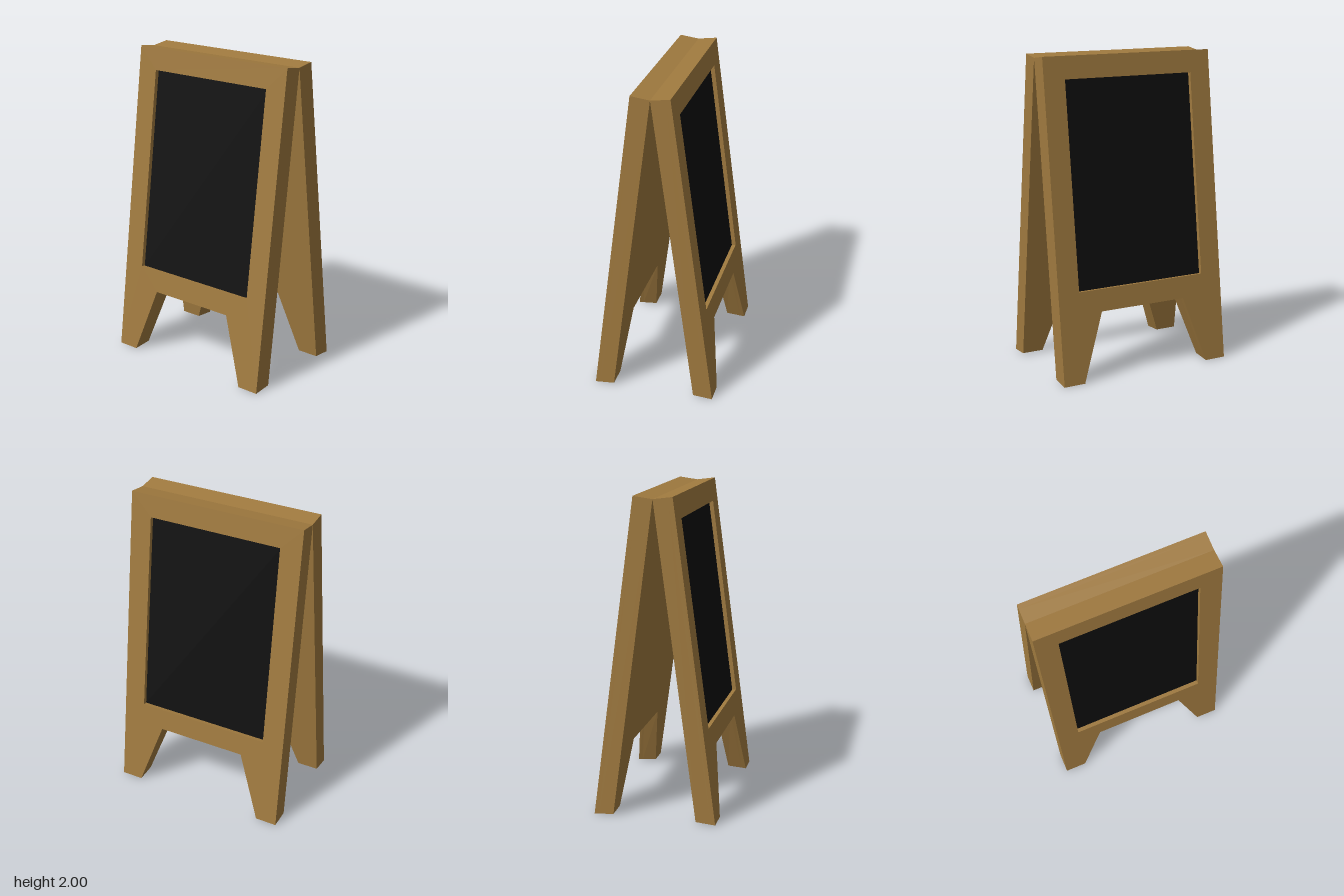
import * as THREE from 'three';

const TILT = Math.atan2(0.267, 2);      // lean of each panel
const LENGTH = 2 / Math.cos(TILT);      // panel length along the slope
const THICK = 0.121, RECESS = 0.028;
const HALF_W = 0.58, HINGE_Y = 1.984;
const BEVEL = 0.026;                    // feet are cut shorter on the inner side

const wood = new THREE.MeshStandardMaterial({ color: 0xa07a3f, flatShading: true });
const slate = new THREE.MeshStandardMaterial({ color: 0x0e0e0e, flatShading: true });

// slope coordinate (0 at the top) of a height on the outer face
const along = (y) => -(2 - y) / Math.cos(TILT);
const BOARD = { w: 0.44, top: along(1.86), bottom: along(0.57) };

// panel outline with two splayed legs
function outline() {
  const arch = along(0.43);
  return new THREE.Shape([
    [-HALF_W, 0], [-HALF_W, -LENGTH], [-0.44, -LENGTH], [-0.293, arch],
    [0.293, arch], [0.44, -LENGTH], [HALF_W, -LENGTH], [HALF_W, 0],
  ].map(([x, y]) => new THREE.Vector2(x, y)));
}

// one layer of the panel between two depths, feet trimmed towards the inside
function layer(shape, from, to) {
  const geo = new THREE.ExtrudeGeometry(shape, { depth: to - from, bevelEnabled: false });
  geo.translate(0, 0, from);
  const p = geo.attributes.position;
  for (let i = 0; i < p.count; i++) {
    if (p.getY(i) < -LENGTH + 0.001) p.setY(i, -LENGTH + BEVEL * (1 - p.getZ(i) / THICK));
  }
  geo.computeVertexNormals();
  return geo.rotateY(Math.PI / 2);
}

function add(parent, name, geo, material) {
  const mesh = new THREE.Mesh(geo, material);
  mesh.name = name;
  parent.add(mesh);
}

function createPanel(name) {
  const panel = new THREE.Group();
  panel.name = name;
  const floor = THICK - RECESS;

  // solid backing with legs
  add(panel, 'backing', layer(outline(), 0, floor), wood);

  // raised frame around the writing surface
  const framed = outline();
  framed.holes.push(new THREE.Path([
    new THREE.Vector2(-BOARD.w, BOARD.top), new THREE.Vector2(BOARD.w, BOARD.top),
    new THREE.Vector2(BOARD.w, BOARD.bottom), new THREE.Vector2(-BOARD.w, BOARD.bottom),
  ]));
  add(panel, 'frame', layer(framed, floor, THICK), wood);

  // writing surface at the bottom of the recess
  const board = new THREE.PlaneGeometry(BOARD.w * 2, BOARD.top - BOARD.bottom);
  board.translate(0, (BOARD.top + BOARD.bottom) / 2, floor + 0.001).rotateY(Math.PI / 2);
  add(panel, 'chalkboard', board, slate);

  panel.position.y = HINGE_Y;
  panel.rotation.z = TILT;
  return panel;
}

export function createModel() {
  const model = new THREE.Group();
  model.name = 'sandwichBoard';
  model.add(createPanel('leftPanel'));

  // opposite panel, turned half way round
  const right = new THREE.Group();
  right.name = 'rightSide';
  right.rotation.y = Math.PI;
  right.add(createPanel('rightPanel'));
  model.add(right);
  return model;
}
